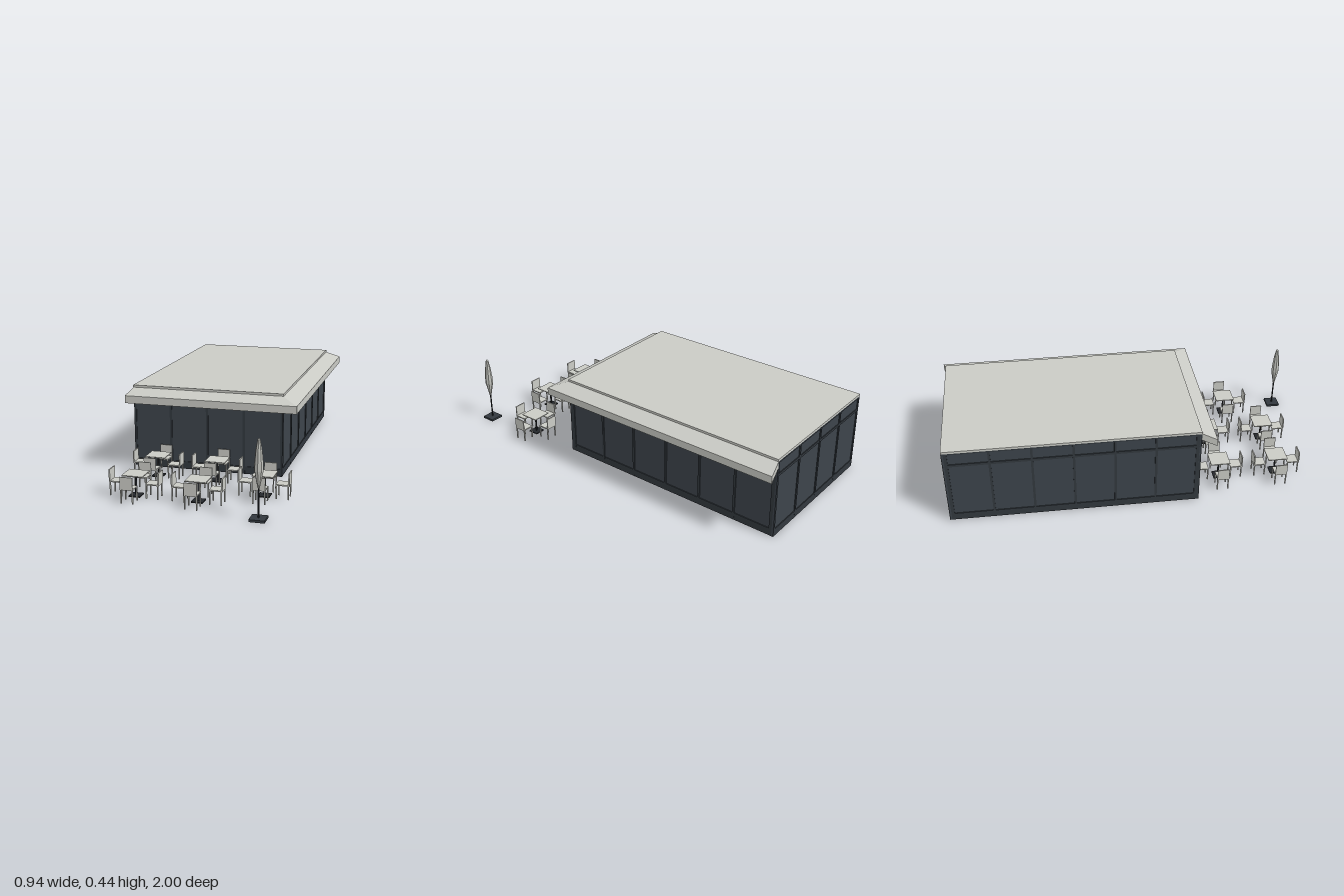
import * as THREE from 'three';

const mat = (name, color, extra = {}) => {
  const m = new THREE.MeshStandardMaterial({ color, ...extra });
  m.name = name;
  return m;
};

export function createModel() {
  const stone = mat('pale stone', 0xcacbc5);
  const canvas = mat('pale canvas', 0xc4c5bf, { flatShading: true });
  const panel = mat('charcoal panel', 0x3d444b);
  const frame = mat('dark frame', 0x32383e);
  const iron = mat('black iron', 0x24272b);

  const model = new THREE.Group();
  model.name = 'cafePavilion';

  const add = (parent, name, geometry, material, x = 0, y = 0, z = 0) => {
    const mesh = new THREE.Mesh(geometry, material);
    mesh.name = name;
    mesh.position.set(x, y, z);
    parent.add(mesh);
    return mesh;
  };
  const box = (parent, name, material, w, h, d, x, y, z) =>
    add(parent, name, new THREE.BoxGeometry(w, h, d), material, x, y, z);
  const group = (parent, name, x = 0, z = 0, turn = 0) => {
    const g = new THREE.Group();
    g.name = name;
    g.position.set(x, 0, z);
    g.rotation.y = turn;
    parent.add(g);
    return g;
  };

  // Building footprint and heights
  const X0 = -0.45, X1 = 0.36, Z0 = -0.98, Z1 = 0.335, WALL = 0.43, T = 0.016;
  const cx = (X0 + X1) / 2, cz = (Z0 + Z1) / 2;

  // Framed wall: recessed panel, posts between bays, three rails
  function wall(name, length, bays, x, z, turn) {
    const g = group(model, name, x, z, turn);
    box(g, 'wallPanel', panel, length, WALL, 0.006, 0, WALL / 2, 0);
    for (let i = 0; i <= bays; i++) {
      const px = -length / 2 + 0.006 + (i * (length - 0.012)) / bays;
      box(g, 'post', frame, 0.012, WALL, T, px, WALL / 2, 0);
    }
    for (const [y, h] of [[0.02, 0.04], [0.351, 0.014], [0.425, 0.01]])
      box(g, 'rail', frame, length, h, T - 0.001, 0, y, 0);
  }
  wall('frontWall', X1 - X0, 4, cx, Z1 - T / 2, 0);
  wall('backWall', X1 - X0, 4, cx, Z0 + T / 2, Math.PI);
  wall('leftWall', Z1 - Z0 - 2 * T, 6, X1 - T / 2, cz, Math.PI / 2);
  wall('rightWall', Z1 - Z0 - 2 * T, 6, X0 + T / 2, cz, -Math.PI / 2);

  box(model, 'roofSlab', stone, X1 - X0 + 0.006, 0.012, Z1 - Z0, cx, WALL + 0.006, cz);

  // Awning: a sloped section swept along the front and round the left side
  const stations = [
    { inner: [X0, Z1], outer: [-0.47, 0.413] },
    { inner: [X1, Z1], outer: [0.447, 0.413] },
    { inner: [X1, Z0], outer: [0.447, -1] },
  ].map(({ inner, outer }) => [
    [inner[0], 0.43, inner[1]], [outer[0], 0.4, outer[1]],
    [outer[0], 0.36, outer[1]], [inner[0], 0.39, inner[1]],
  ]);
  const points = [];
  const quad = (a, b, c, d) => points.push(...a, ...b, ...c, ...a, ...c, ...d);
  for (let s = 0; s < 2; s++) {
    const p = stations[s], q = stations[s + 1];
    for (let k = 0; k < 4; k++) {
      const n = (k + 1) % 4;
      quad(p[k], p[n], q[n], q[k]);
    }
  }
  quad(...[...stations[0]].reverse());
  quad(...stations[2]);
  const awning = new THREE.BufferGeometry();
  awning.setAttribute('position', new THREE.Float32BufferAttribute(points, 3));
  awning.computeVertexNormals();
  add(model, 'awning', awning, stone);

  // Chair facing -z, backrest on the outer edge
  function chair(parent, turn) {
    const g = group(parent, 'chair', 0, 0, turn);
    const z = 0.093, s = 0.064;
    box(g, 'seat', stone, s, 0.006, s, 0, 0.071, z);
    box(g, 'backrest', stone, s, 0.064, 0.006, 0, 0.1, z + s / 2);
    for (const sx of [-1, 1])
      for (const sz of [-1, 1])
        box(g, 'chairLeg', stone, 0.006, 0.068, 0.006, sx * 0.029, 0.034, z + sz * 0.029);
  }

  // Pedestal table with four chairs
  function tableSet(x, z) {
    const g = group(model, 'tableSet', x, z);
    box(g, 'tableTop', stone, 0.106, 0.005, 0.106, 0, 0.113, 0);
    add(g, 'tableStem', new THREE.CylinderGeometry(0.005, 0.005, 0.108, 10), iron, 0, 0.057, 0);
    box(g, 'tableBase', iron, 0.058, 0.006, 0.058, 0, 0.003, 0);
    for (let i = 0; i < 4; i++) chair(g, (i * Math.PI) / 2);
  }
  for (const x of [-0.265, 0.053]) for (const z of [0.48, 0.8]) tableSet(x, z);
  tableSet(0.34, 0.64);
  // Indoor seating
  for (const x of [-0.12, 0.2]) for (const z of [-0.82, -0.5, -0.18]) tableSet(x, z);

  // Folded parasol
  const parasol = group(model, 'parasol', 0.387, 0.962);
  box(parasol, 'parasolBase', frame, 0.075, 0.012, 0.075, 0, 0.006, 0);
  add(parasol, 'parasolPole', new THREE.CylinderGeometry(0.004, 0.004, 0.15, 10), iron, 0, 0.082, 0);
  const profile = [[0, 0.15], [0.005, 0.152], [0.022, 0.235], [0.021, 0.27],
    [0.016, 0.325], [0.007, 0.378], [0, 0.386]].map(([r, y]) => new THREE.Vector2(r, y));
  add(parasol, 'foldedCanopy', new THREE.LatheGeometry(profile, 8), canvas);

  return model;
}
